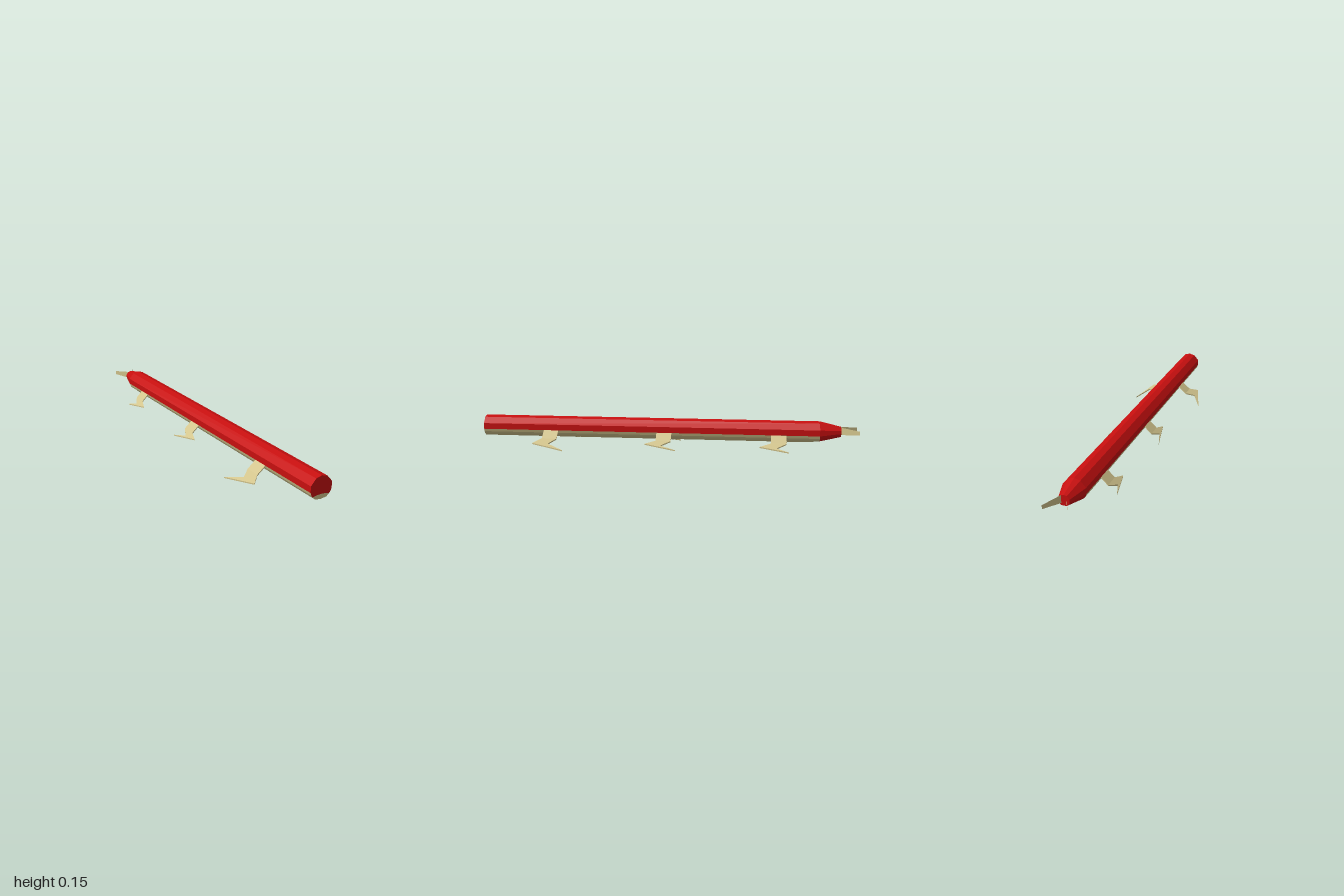
import * as THREE from 'three';

const red = new THREE.MeshStandardMaterial({ color: 0xc80f0f, flatShading: true });
red.name = 'red';
const tan = new THREE.MeshStandardMaterial({ color: 0xd2c48c, flatShading: true, side: THREE.DoubleSide });
tan.name = 'tan';

// Right half of the body section, from the top down to the belly
const HALF = [[0, 0.154], [0.03, 0.146], [0.057, 0.115], [0.057, 0.084],
  [0.052, 0.07], [0.045, 0.06], [0.03, 0.047], [0, 0.043]];
const SEAM_Y = 0.067;
const mirror = (pts) => pts.map(([x, y]) => [-x, y]).reverse();
const RING = [...HALF, ...mirror(HALF).slice(1)];

// Section at z, shrunk about the body axis, with the underside limited to minY
const section = (pts, z, scale = 1, minY = 0) =>
  pts.map(([x, y]) => [x * scale, 0.103 + (Math.max(y, minY) - 0.103) * scale, z]);

// Skin between cross-sections with the same number of points
function loft(rings) {
  const n = rings[0].length;
  const index = [];
  for (let r = 0; r < rings.length - 1; r++) {
    for (let i = 0; i < n - 1; i++) {
      const a = r * n + i;
      index.push(a, a + 1, a + n, a + 1, a + n + 1, a + n);
    }
  }
  const g = new THREE.BufferGeometry();
  g.setAttribute('position', new THREE.Float32BufferAttribute(rings.flat(2), 3));
  g.setIndex(index);
  const flat = g.toNonIndexed();
  flat.computeVertexNormals();
  return flat;
}

const shapeOf = (pts) => new THREE.Shape(pts.map(([x, y]) => new THREE.Vector2(x, y)));

// Thin plate outlined in x and z, its height following a rule in |x|
function plate(outline, side, height) {
  const g = new THREE.ExtrudeGeometry(shapeOf(outline.map(([x, z]) => [side * x, -z])),
    { depth: 0.006, bevelEnabled: false });
  g.rotateX(-Math.PI / 2);
  const p = g.attributes.position;
  for (let i = 0; i < p.count; i++) p.setY(i, p.getY(i) + height(Math.abs(p.getX(i))));
  g.computeVertexNormals();
  return g;
}

export function createModel() {
  const model = new THREE.Group();
  const add = (name, geometry, material, parent = model) => {
    const mesh = new THREE.Mesh(geometry, material);
    mesh.name = name;
    parent.add(mesh);
    return mesh;
  };

  // Long body: red back and tan belly
  const back = [...RING.slice(11, 14), ...RING.slice(0, 4)];
  const belly = RING.slice(3, 12);
  add('back', loft([section(back, 1), section(back, -0.8)]), red);
  add('belly', loft([section(belly, 1), section(belly, -0.73), section(belly, -0.8, 1, 0.053)]), tan);

  // Tapered rear end
  const rear = section(RING, -0.91, 0.48);
  add('rearTaper', loft([section(RING, -0.8, 1, 0.053), rear]), red);
  const rearCap = add('rearCap', new THREE.ShapeGeometry(shapeOf(rear.slice(0, -1))), red);
  rearCap.rotation.y = Math.PI;
  rearCap.position.z = -0.91;

  // Flat front face, split along the belly seam
  const upper = HALF.slice(0, 6);
  const lower = HALF.slice(5);
  const seam = [[0.025, 0.065], [0, SEAM_Y], [-0.025, 0.065]];
  add('frontFace', new THREE.ShapeGeometry(
    shapeOf([...upper, ...seam, ...mirror(upper).slice(0, -1)])), red).position.z = 1;
  add('frontBellyFace', new THREE.ShapeGeometry(
    shapeOf([...lower, ...mirror(lower).slice(1), ...[...seam].reverse()])), tan).position.z = 1;

  // Three pairs of bent plate legs: z, knee x, then notch, tip and toe as [x, z offset]
  const legs = [
    { name: 'frontLeg', z: 0.625, knee: 0.1, notch: [0.144, -0.005], tip: [0.195, -0.095], toe: [0.142, 0.08], tipY: 0 },
    { name: 'middleLeg', z: 0.012, knee: 0.095, notch: [0.121, 0.012], tip: [0.145, -0.07], toe: [0.113, 0.096], tipY: 0.005 },
    { name: 'rearLeg', z: -0.59, knee: 0.092, notch: [0.118, 0.012], tip: [0.138, -0.05], toe: [0.112, 0.098], tipY: 0.007 },
  ];
  for (const { name, z, knee, notch, tip, toe, tipY } of legs) {
    for (const side of [1, -1]) {
      const leg = new THREE.Group();
      leg.name = (side > 0 ? 'left ' : 'right ') + name;
      leg.position.z = z;
      model.add(leg);
      const kneeY = 0.042;
      add('thigh', plate([[0.05, -0.04], [knee, -0.04], [knee, 0.04], [0.05, 0.04]], side,
        (x) => THREE.MathUtils.mapLinear(x, 0.05, knee, 0.084, kneeY)), tan, leg);
      add('foot', plate([[knee, -0.04], notch, tip, toe, [knee, 0.04]], side,
        (x) => THREE.MathUtils.mapLinear(x, knee, tip[0], kneeY, tipY)), tan, leg);
    }
  }

  // Pair of splayed tail blades
  for (const side of [1, -1]) {
    const blade = loft([
      [[side * 0.01, 0.125, -0.905], [side * 0.01, 0.085, -0.905]],
      [[side * 0.06, 0.114, -1], [side * 0.06, 0.094, -1]],
    ]);
    add(side > 0 ? 'leftTailBlade' : 'rightTailBlade', blade, tan);
  }

  return model;
}
